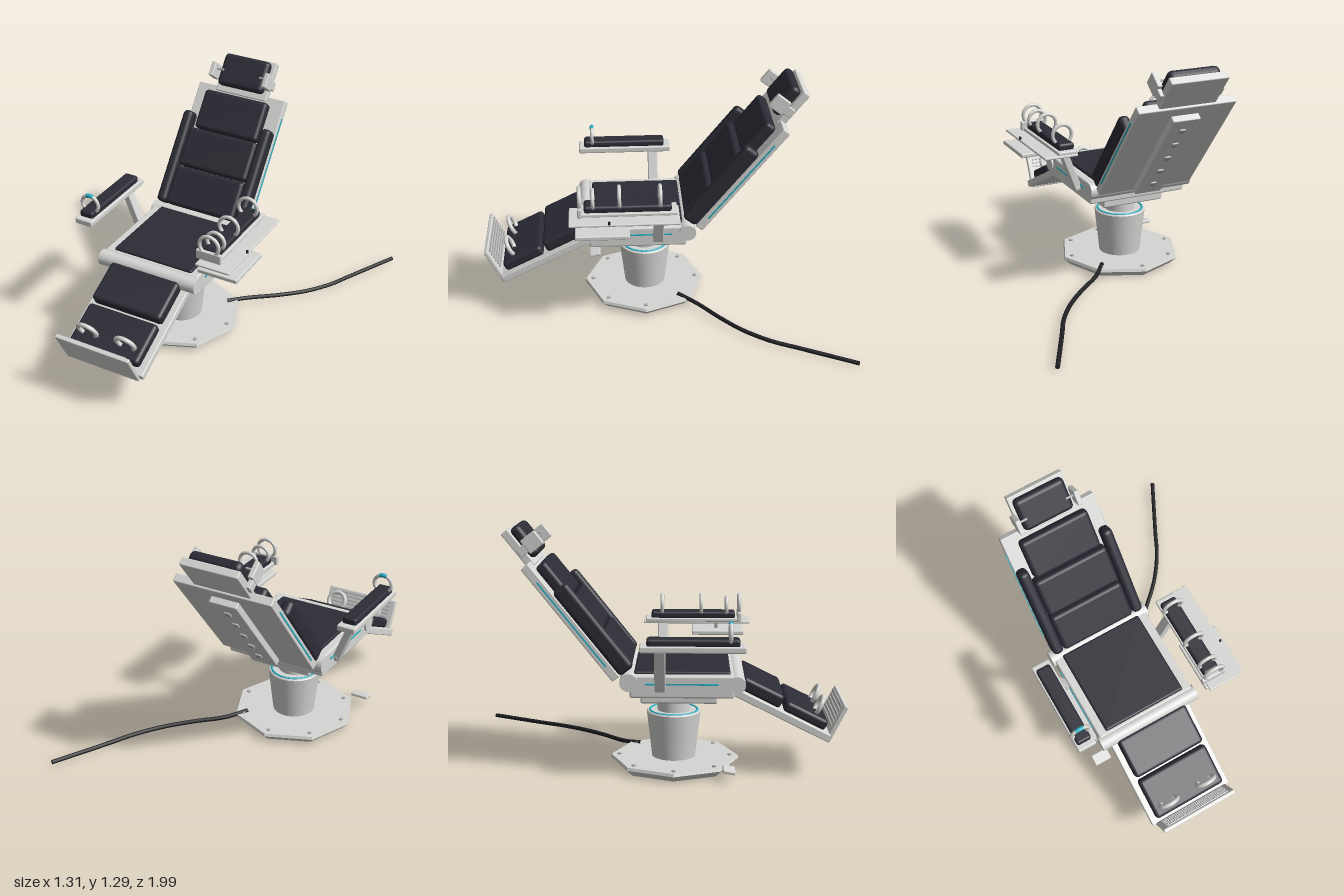
import * as THREE from 'three';
import { RoundedBoxGeometry } from 'three/addons/geometries/RoundedBoxGeometry.js';

const mat = (name, color) => {
  const m = new THREE.MeshStandardMaterial({ color });
  m.name = name;
  return m;
};

export function createModel() {
  const shell = mat('light shell', 0xd6d6d4);
  const padding = mat('dark padding', 0x2c2c36);
  const rubber = mat('black rubber', 0x1f1f23);
  const accent = mat('cyan accent', 0x2bb3c6);
  const steel = mat('grey steel', 0xb4b4b4);

  const model = new THREE.Group();
  model.name = 'treatmentChair';
  const CX = -0.215; // middle plane of the chair

  const group = (name, x, y, z, rx = 0) => {
    const g = new THREE.Group();
    g.name = name;
    g.position.set(x, y, z);
    g.rotation.x = rx;
    model.add(g);
    return g;
  };
  const add = (parent, name, geo, m, x = 0, y = 0, z = 0) => {
    const mesh = new THREE.Mesh(geo, m);
    mesh.name = name;
    mesh.position.set(x, y, z);
    parent.add(mesh);
    return mesh;
  };
  // box given by its limits on each axis, with rounded edges
  const box = (parent, name, m, [x0, x1], [y0, y1], [z0, z1], r = 0.006) => {
    const w = x1 - x0, h = y1 - y0, d = z1 - z0;
    const geo = r ? new RoundedBoxGeometry(w, h, d, 3, r) : new THREE.BoxGeometry(w, h, d);
    return add(parent, name, geo, m, (x0 + x1) / 2, (y0 + y1) / 2, (z0 + z1) / 2);
  };
  const cyl = (parent, name, m, rTop, rBottom, h, x, y, z, sides = 40) =>
    add(parent, name, new THREE.CylinderGeometry(rTop, rBottom, h, sides), m, x, y, z);
  const roller = (name, m, r, len, x, y, z) => {
    cyl(model, name, m, r, r, len, x, y, z).rotation.z = Math.PI / 2;
  };

  // Octagonal floor plate with bevelled rims
  const base = group('base', CX, 0, 0.105);
  const facet = (name, rTop, rBottom, y0, y1) => {
    const geo = new THREE.CylinderGeometry(rTop, rBottom, y1 - y0, 8).toNonIndexed();
    geo.computeVertexNormals();
    add(base, name, geo, shell, 0, (y0 + y1) / 2, 0);
  };
  facet('basePlate', 0.343, 0.305, 0, 0.035);
  facet('baseRim', 0.337, 0.343, 0.035, 0.05);
  for (let i = 0; i < 8; i++) {
    const a = (i / 8) * Math.PI * 2;
    cyl(base, 'baseBolt', steel, 0.011, 0.011, 0.008, Math.sin(a) * 0.295, 0.053, Math.cos(a) * 0.295, 12);
  }
  const pedal = box(model, 'footPedal', shell, [-0.55, -0.45], [0.05, 0.068], [0.355, 0.42]);
  pedal.rotation.x = 0.2;

  // Tapered pedestal and lifting column
  cyl(model, 'pedestal', shell, 0.143, 0.115, 0.245, CX, 0.1725, 0.1, 48);
  cyl(model, 'pedestalLip', shell, 0.138, 0.143, 0.006, CX, 0.298, 0.1, 48);
  const glow = add(model, 'pedestalRing', new THREE.TorusGeometry(0.126, 0.006, 8, 48), accent, CX, 0.301, 0.1);
  glow.rotation.x = Math.PI / 2;
  cyl(model, 'liftColumn', shell, 0.085, 0.085, 0.08, CX, 0.34, 0.1);
  box(model, 'liftPlate', shell, [CX - 0.18, CX + 0.18], [0.377, 0.428], [-0.07, 0.328], 0.01);

  // Seat
  box(model, 'seatFrame', shell, [CX - 0.285, CX + 0.285], [0.433, 0.548], [-0.12, 0.41], 0.01);
  box(model, 'seatCushion', padding, [CX - 0.238, CX + 0.238], [0.535, 0.562], [-0.1, 0.392], 0.012);
  for (const s of [-1, 1]) {
    const x = CX + s * 0.286;
    box(model, 'seatStrip', accent, [x - 0.003, x + 0.003], [0.502, 0.51], [-0.04, 0.33], 0);
  }
  roller('kneeRoller', shell, 0.043, 0.59, CX, 0.505, 0.425);
  roller('backHinge', shell, 0.046, 0.6, CX, 0.515, -0.125);

  // Leg rest, local z runs down toward the feet
  const leg = group('legRest', CX, 0.505, 0.43, 0.464);
  box(leg, 'legPanel', shell, [-0.243, 0.243], [-0.07, -0.03], [0, 0.55]);
  box(leg, 'calfCushion', padding, [-0.21, 0.21], [-0.035, 0.038], [0.02, 0.255], 0.02);
  box(leg, 'ankleCushion', padding, [-0.21, 0.21], [-0.035, 0.024], [0.275, 0.515], 0.02);
  box(leg, 'footPlate', shell, [-0.22, 0.22], [-0.075, 0.137], [0.542, 0.565]);
  for (let i = 0; i < 6; i++) {
    const y = 0.002 + i * 0.022;
    box(leg, 'footTread', steel, [-0.19, 0.19], [y, y + 0.009], [0.535, 0.543], 0);
  }
  for (const x of [-0.115, 0.115]) {
    const hoop = add(leg, 'ankleHoop', new THREE.TorusGeometry(0.053, 0.012, 10, 36, Math.PI * 1.5), shell, x, 0.058, 0.445);
    hoop.rotation.z = -Math.PI / 4;
  }

  // Reclined back, local y runs up the back and local z out of its front
  const back = group('back', CX, 0.515, -0.125, -0.672);
  box(back, 'backFrame', shell, [-0.275, 0.275], [0.05, 0.78], [-0.065, -0.018]);
  box(back, 'backSpine', shell, [-0.078, 0.078], [0.06, 0.72], [-0.1, -0.06]);
  for (let i = 0; i < 5; i++) {
    const y = 0.15 + i * 0.12;
    box(back, 'spineButton', steel, [-0.017, 0.017], [y - 0.017, y + 0.017], [-0.109, -0.098], 0.004);
  }
  const cushions = [
    ['lumbarCushion', 0.215, 0.045, 0.27, 0.068],
    ['middleCushion', 0.215, 0.275, 0.502, 0.06],
    ['shoulderCushion', 0.198, 0.507, 0.737, 0.043],
  ];
  for (const [name, w, y0, y1, front] of cushions)
    box(back, name, padding, [-w, w], [y0, y1], [-0.025, front], 0.022);
  for (const s of [-1, 1]) {
    const x = s * 0.247, e = s * 0.276;
    box(back, 'sideBolster', padding, [x - 0.03, x + 0.03], [0.045, 0.59], [-0.02, 0.072], 0.024);
    box(back, 'backStrip', accent, [e - 0.003, e + 0.003], [0.13, 0.68], [-0.045, -0.037], 0);
  }

  // Headrest with side holders
  box(back, 'headPlate', shell, [-0.16, 0.16], [0.75, 0.977], [-0.053, -0.01]);
  box(back, 'headCushion', padding, [-0.143, 0.143], [0.78, 0.966], [-0.015, 0.047], 0.026);
  for (const s of [-1, 1]) {
    const x = s * 0.167;
    box(back, 'headHolder', shell, [x - 0.014, x + 0.014], [0.806, 0.89], [0.005, 0.096]);
    box(back, 'headHolderArm', shell, [x - 0.012, x + 0.012], [0.82, 0.87], [-0.04, 0.015], 0.004);
    const pin = cyl(back, 'headHolderPin', steel, 0.006, 0.006, 0.045, s * 0.135, 0.86, 0.06, 12);
    pin.rotation.z = Math.PI / 2;
  }

  // Slanted arm struts, mirrored about the middle plane
  for (const s of [-1, 1]) {
    const a = new THREE.Vector2(CX + s * 0.29, 0.475), b = new THREE.Vector2(CX + s * 0.377, 0.7);
    const mid = a.clone().add(b).multiplyScalar(0.5);
    const strut = add(model, 'armStrut', new RoundedBoxGeometry(0.04, a.distanceTo(b), 0.056, 3, 0.006), shell, mid.x, mid.y, 0.035);
    strut.rotation.z = -Math.atan2(b.x - a.x, b.y - a.y);
    const pivot = cyl(model, 'armPivot', shell, 0.03, 0.03, 0.03, CX + s * 0.288, 0.49, 0.035, 24);
    pivot.rotation.z = Math.PI / 2;
  }
  const ring = (name, m, x, y, z, r, tube = 0.01) =>
    add(model, name, new THREE.TorusGeometry(r, tube, 12, 40), m, x, y, z);

  // Right armrest
  box(model, 'rightArmTray', shell, [-0.647, -0.543], [0.697, 0.731], [-0.065, 0.462], 0.008);
  box(model, 'rightArmPad', padding, [-0.637, -0.555], [0.725, 0.766], [-0.03, 0.432], 0.014);
  ring('rightWristRing', shell, -0.596, 0.79, 0.385, 0.05);
  const band = add(model, 'wristRingAccent', new THREE.TorusGeometry(0.05, 0.0115, 12, 12, 0.8), accent, -0.596, 0.79, 0.385);
  band.rotation.z = Math.PI / 2 - 0.4;

  // Left armrest with instrument trays
  box(model, 'leftArmTray', shell, [0.115, 0.308], [0.7, 0.713], [-0.07, 0.512], 0.005);
  box(model, 'leftArmBase', shell, [0.112, 0.225], [0.71, 0.73], [-0.06, 0.46]);
  box(model, 'leftArmPad', padding, [0.12, 0.212], [0.725, 0.766], [-0.03, 0.432], 0.014);
  box(model, 'leftArmEndBlock', shell, [0.094, 0.237], [0.712, 0.766], [0.444, 0.466]);
  for (const z of [0.03, 0.245, 0.455]) ring('leftWristRing', shell, 0.166, 0.8, z, 0.055);
  ring('leftHandRing', shell, 0.166, 0.79, 0.385, 0.05);
  box(model, 'lowerTray', shell, [0.11, 0.337], [0.637, 0.661], [0.195, 0.48], 0.006);
  cyl(model, 'lowerTrayStem', steel, 0.01, 0.01, 0.05, 0.2, 0.68, 0.33, 16);
  cyl(model, 'trayKnob', rubber, 0.006, 0.006, 0.016, 0.303, 0.72, 0.3, 12);

  // Power cable lying on the floor
  const path = new THREE.CatmullRomCurve3([
    [-0.02, 0.055, -0.08], [0.066, 0.04, -0.185], [0.2, 0.032, -0.3], [0.32, 0.025, -0.42],
    [0.42, 0.021, -0.56], [0.485, 0.02, -0.69], [0.64, 0.02, -0.995],
  ].map((p) => new THREE.Vector3(...p)));
  add(model, 'cable', new THREE.TubeGeometry(path, 64, 0.0115, 12), rubber);
  const end = add(model, 'cableEnd', new THREE.CircleGeometry(0.0115, 12), rubber, 0.64, 0.02, -0.995);
  end.lookAt(0.795, 0.02, -1.3);

  return model;
}
